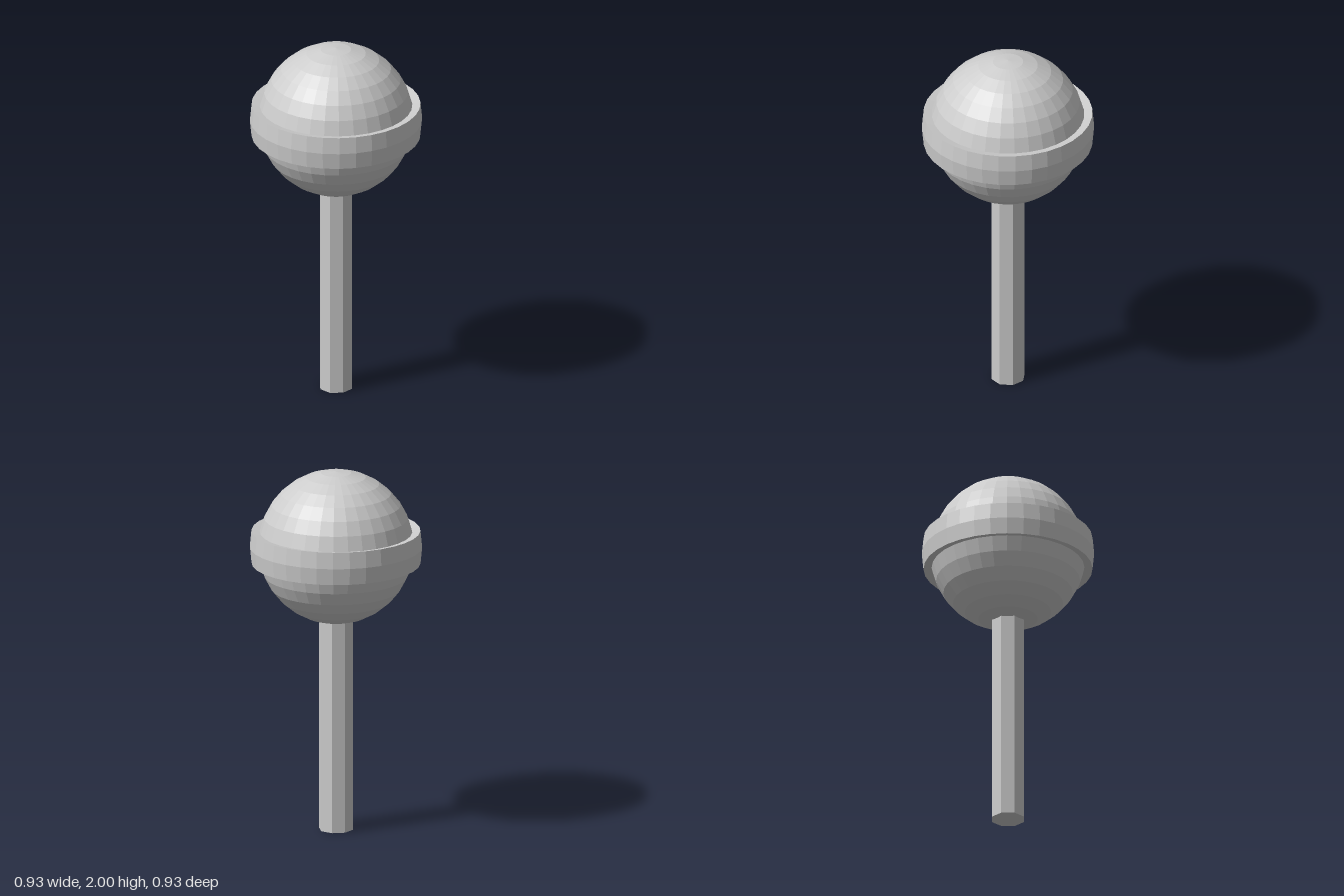
import * as THREE from 'three';

export function createModel() {
  const model = new THREE.Group();
  const grey = new THREE.MeshStandardMaterial({ color: 0xcccccc });
  grey.name = 'light grey';
  grey.flatShading = true;

  const centerY = 1.58, ballRadius = 0.42, bandRadius = 0.465;
  const sides = 32, step = Math.PI / 16;

  function add(name, geometry, y) {
    const mesh = new THREE.Mesh(geometry, grey);
    mesh.name = name;
    mesh.position.y = y;
    model.add(mesh);
  }

  // Round candy
  add('candyBall', new THREE.SphereGeometry(ballRadius, sides, 16), centerY);

  // Raised band: the two rows of faces at the equator, pushed outward
  const ringPoint = (radius, angle) =>
    new THREE.Vector2(radius * Math.cos(angle), radius * Math.sin(angle));
  const bandProfile = [
    ringPoint(ballRadius, -step),
    ringPoint(bandRadius, -step),
    ringPoint(bandRadius, 0),
    ringPoint(bandRadius, step),
    ringPoint(ballRadius, step),
  ];
  add('candyBand', new THREE.LatheGeometry(bandProfile, sides), centerY);

  // Eight-sided stick with flats facing the front and sides
  const stickHeight = 1.18;
  const stick = new THREE.CylinderGeometry(0.093, 0.093, stickHeight, 8);
  stick.rotateY(Math.PI / 8);
  add('stick', stick, stickHeight / 2);

  return model;
}
